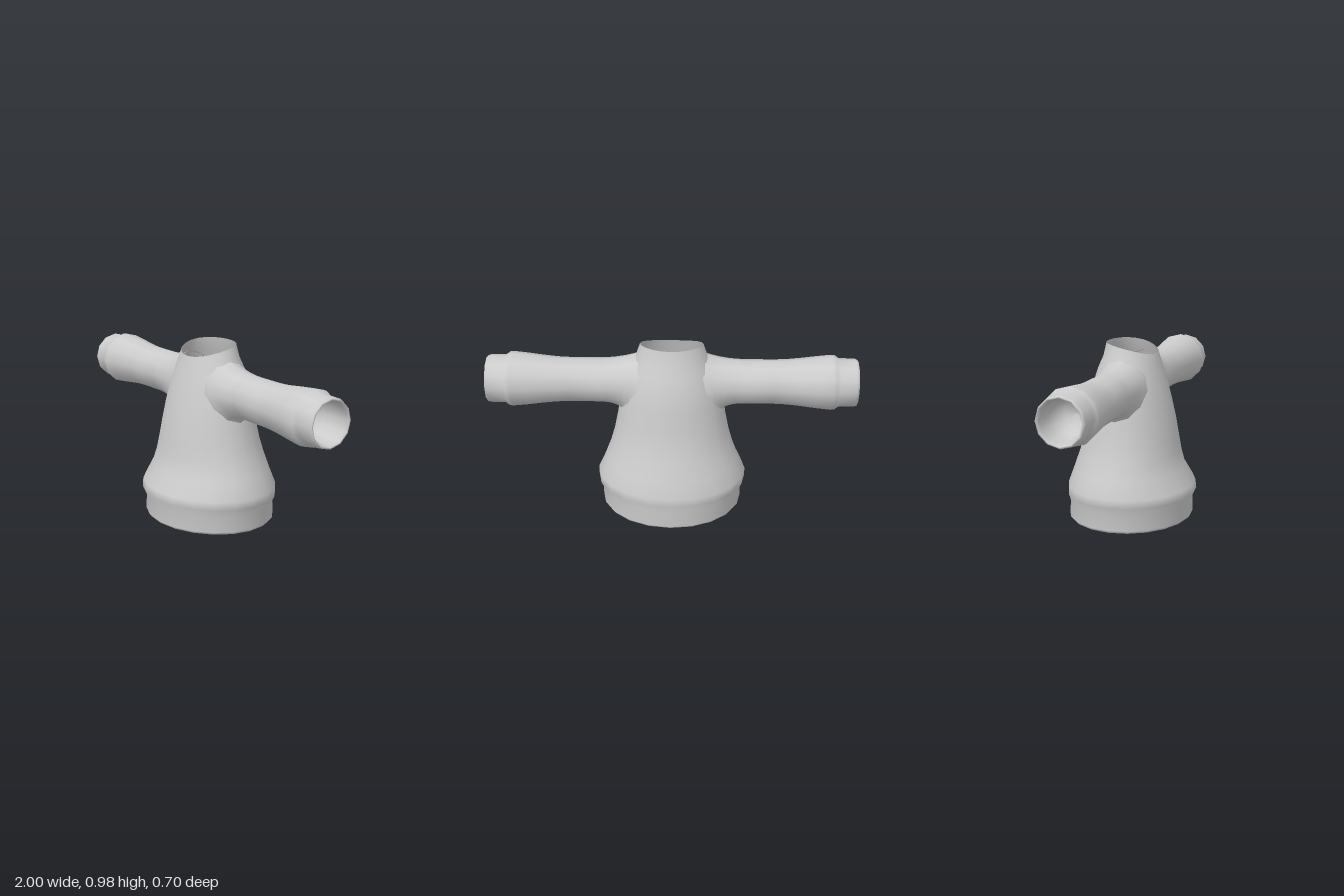
import * as THREE from 'three';

const SLEEVE_Y = 0.74;

// Body sections: height, half width, front depth, back depth
const SECTIONS = [
  [0.012, 0.365, 0.31, 0.32], [0.0, 0.38, 0.322, 0.335], [0.015, 0.39, 0.334, 0.347],
  [0.1, 0.388, 0.33, 0.34], [0.145, 0.412, 0.352, 0.352], [0.19, 0.412, 0.346, 0.349],
  [0.28, 0.372, 0.288, 0.317], [0.37, 0.338, 0.265, 0.286], [0.45, 0.315, 0.252, 0.262],
  [0.55, 0.295, 0.235, 0.24], [0.65, 0.28, 0.212, 0.231], [0.75, 0.255, 0.187, 0.21],
  [0.83, 0.225, 0.163, 0.185], [0.9, 0.19, 0.143, 0.155],
];

// Body half width and depths at a given height
function sectionAt(y) {
  for (let i = 2; i < SECTIONS.length; i++) {
    const a = SECTIONS[i - 1], b = SECTIONS[i];
    if (y <= b[0]) {
      const t = (y - a[0]) / (b[0] - a[0]);
      return a.map((v, k) => v + (b[k] - v) * t);
    }
  }
  return SECTIONS[SECTIONS.length - 1];
}

// Skins a list of closed rings; flip reverses the facing for mirrored parts
function loft(name, rings, material, flip = false) {
  const n = rings[0].length, index = [];
  for (let j = 0; j < rings.length - 1; j++) {
    for (let i = 0; i < n; i++) {
      const a = j * n + i, b = j * n + (i + 1) % n, c = b + n, d = a + n;
      index.push(...(flip ? [a, c, b, a, d, c] : [a, b, c, a, c, d]));
    }
  }
  const geometry = new THREE.BufferGeometry().setFromPoints(rings.flat());
  geometry.setIndex(index);
  geometry.computeVertexNormals();
  const mesh = new THREE.Mesh(geometry, material);
  mesh.name = name;
  return mesh;
}

function ovalRing(w, front, back, height, n = 20) {
  return Array.from({ length: n }, (_, i) => {
    const a = (i / n) * Math.PI * 2, c = Math.cos(a);
    return new THREE.Vector3(w * Math.sin(a), height(c), c * (c > 0 ? front : back));
  });
}

function makeSleeve(side, material) {
  const n = 12, rings = [];
  const angles = Array.from({ length: n }, (_, i) => (i / n) * Math.PI * 2);
  const point = (x, r, a) =>
    new THREE.Vector3(x, SLEEVE_Y + r * Math.cos(a), r * Math.sin(a));

  // Flared shoulder joint, starting on the body surface
  const curves = angles.map((a) => {
    const y = SLEEVE_Y + 0.16 * Math.cos(a), z = 0.145 * Math.sin(a);
    const [, w, front, back] = sectionAt(y);
    const x = w * Math.sqrt(Math.max(0, 1 - (z / (z > 0 ? front : back)) ** 2));
    const start = new THREE.Vector3(x - 0.005, y, z);
    return new THREE.QuadraticBezierCurve3(start, point(Math.max(0.27, x + 0.02), 0.122, a), point(0.39, 0.12, a));
  });
  for (let k = 0; k <= 5; k++) rings.push(curves.map((c) => c.getPoint(k / 5)));

  // Arm, raised cuff, folded hem and recessed inside
  const profile = [
    [0.55, 0.12], [0.62, 0.123], [0.7, 0.131], [0.78, 0.141], [0.86, 0.149], [0.88, 0.147],
    [0.9, 0.132], [0.985, 0.13], [1, 0.125], [1, 0.117], [0.985, 0.11], [0.9, 0.108],
    [0.84, 0.095], [0.8, 0.06], [0.79, 0.002],
  ];
  for (const [x, r] of profile) rings.push(angles.map((a) => point(x, r, a)));
  rings.flat().forEach((p) => { p.x *= side; });
  return loft(side > 0 ? 'leftSleeve' : 'rightSleeve', rings, material, side < 0);
}

export function createModel() {
  const cloth = new THREE.MeshStandardMaterial({ color: 0xcccccc });
  cloth.name = 'light grey cloth';
  cloth.side = THREE.DoubleSide;

  const group = new THREE.Group();
  group.name = 'shirt';

  // Hollow body with a sloping neck opening
  const rings = SECTIONS.map(([y, w, f, b]) => ovalRing(w, f, b, () => y));
  rings.push(ovalRing(0.17, 0.138, 0.138, (s) => 0.96 - 0.03 * s - 0.015 * s * s));
  group.add(loft('body', rings, cloth));

  // Closed floor deep inside the neck
  const [y, w, f, b] = sectionAt(0.72);
  const floor = [1, 0.6, 0.01].map((k) => ovalRing(w * k, f * k, b * k, () => y));
  group.add(loft('neckFloor', floor, cloth));

  for (const side of [1, -1]) group.add(makeSleeve(side, cloth));
  return group;
}
